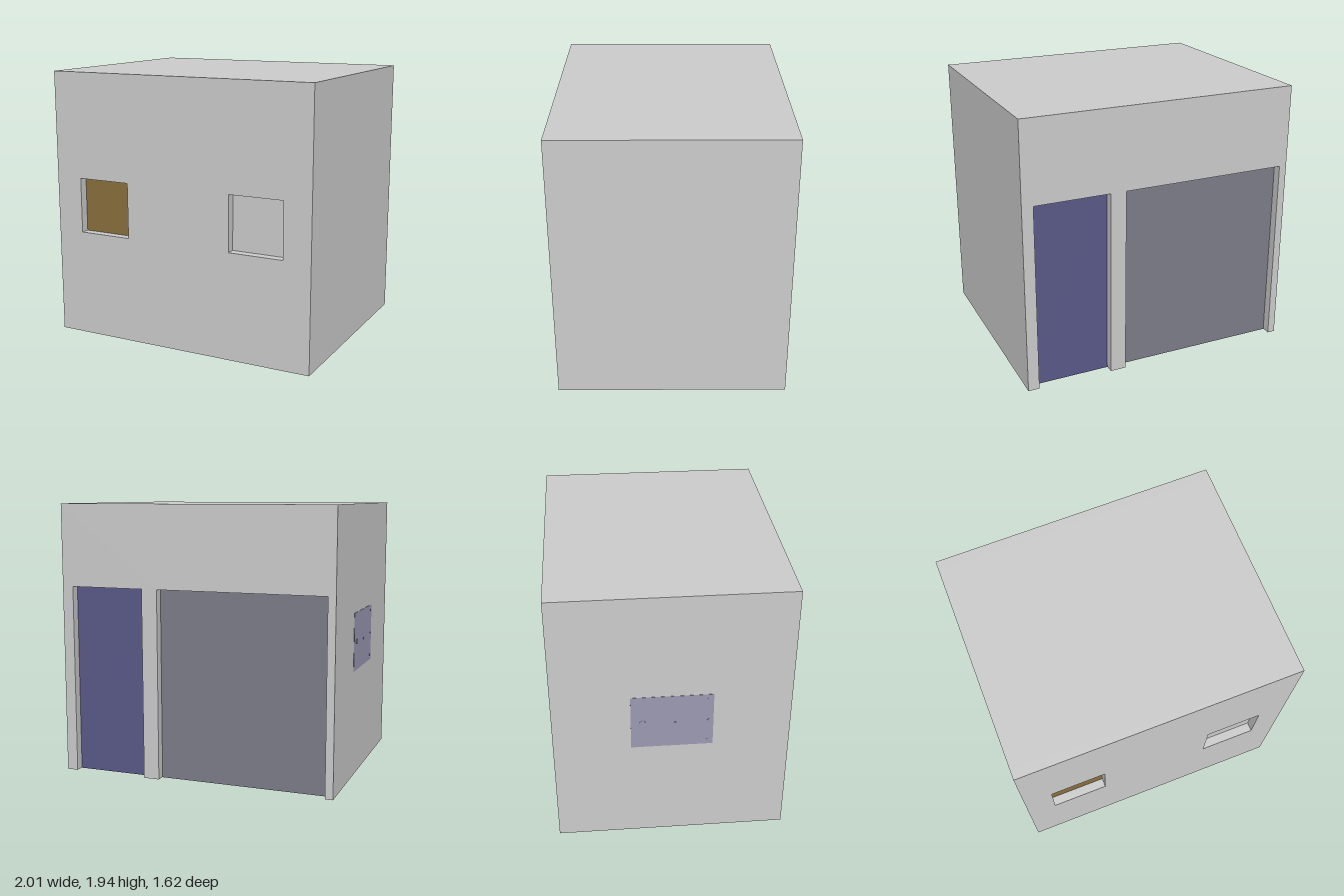
import * as THREE from 'three';

const H = 1.935, W = 1, D = 0.81, T = 0.065; // height, half width, half depth, wall thickness

export function createModel() {
  const group = new THREE.Group();
  group.name = 'building';
  const material = (color) => new THREE.MeshStandardMaterial({ color });
  const grey = material(0xcccccc);
  const add = (name, geometry, mat) => {
    const mesh = new THREE.Mesh(geometry, mat);
    mesh.name = name;
    group.add(mesh);
    return mesh;
  };
  // box given by its limits on each axis
  const block = (name, mat, x0, x1, y0, y1, z0, z1) => {
    const mesh = add(name, new THREE.BoxGeometry(x1 - x0, y1 - y0, z1 - z0), mat);
    mesh.position.set((x0 + x1) / 2, (y0 + y1) / 2, (z0 + z1) / 2);
  };
  const polygon = (pts) => pts.map(([x, y]) => new THREE.Vector2(x, y));
  const wall = (name, shape, z) => {
    const geometry = new THREE.ExtrudeGeometry(shape, { depth: T, bevelEnabled: false });
    add(name, geometry, grey).position.z = z;
  };

  // main volume between the front and back walls
  block('body', grey, -W, W, 0, H, -D + T, D - T);

  // front wall with two square window openings
  const front = new THREE.Shape(polygon([[-W, 0], [W, 0], [W, H], [-W, H]]));
  for (const x of [-0.8, 0.4]) {
    front.holes.push(new THREE.Path(polygon([[x, 0.77], [x, 1.17], [x + 0.4, 1.17], [x + 0.4, 0.77]])));
  }
  wall('frontWall', front, D - T);

  // back wall, notched down to the ground for the two doors
  const door = [0.38, 0.92], gate = [-0.945, 0.265], doorTop = 1.35;
  const notch = ([a, b]) => [[a, 0], [a, doorTop], [b, doorTop], [b, 0]];
  wall('backWall', new THREE.Shape(polygon(
    [[-W, 0], ...notch(gate), ...notch(door), [W, 0], [W, H], [-W, H]])), -D);

  // coloured inner blocks, showing through the openings and underneath
  const e = 0.002, inner = D - T + e;
  block('windowBlock', material(0x886f3e), -0.965, 0.1, -e, doorTop, 0.2, inner);
  block('doorBlock', material(0x595988), 0.345, 0.95, -e, doorTop, -inner, 0.69);
  block('gateBlock', material(0x7c7c88), -0.955, 0.27, -e, doorTop, -inner, -0.34);

  // hatch on the right side with its knob and rivets
  const steel = material(0x9b99b2);
  block('sideHatch', steel, -W - 0.002, -W + 0.01, 0.765, 1.18, -0.28, 0.28);
  const stud = (name, r, y, z) => {
    const mesh = add(name, new THREE.CylinderGeometry(r, r, 0.006, 16), steel);
    mesh.rotation.z = Math.PI / 2;
    mesh.position.set(-W - 0.002, y, z);
  };
  stud('hatchKnob', 0.02, 0.97, -0.2);
  stud('hatchCentreRivet', 0.008, 0.96, 0.02);
  for (const y of [0.8, 0.97, 1.14]) stud('hatchRivet', 0.008, y, 0.245);

  return group;
}
